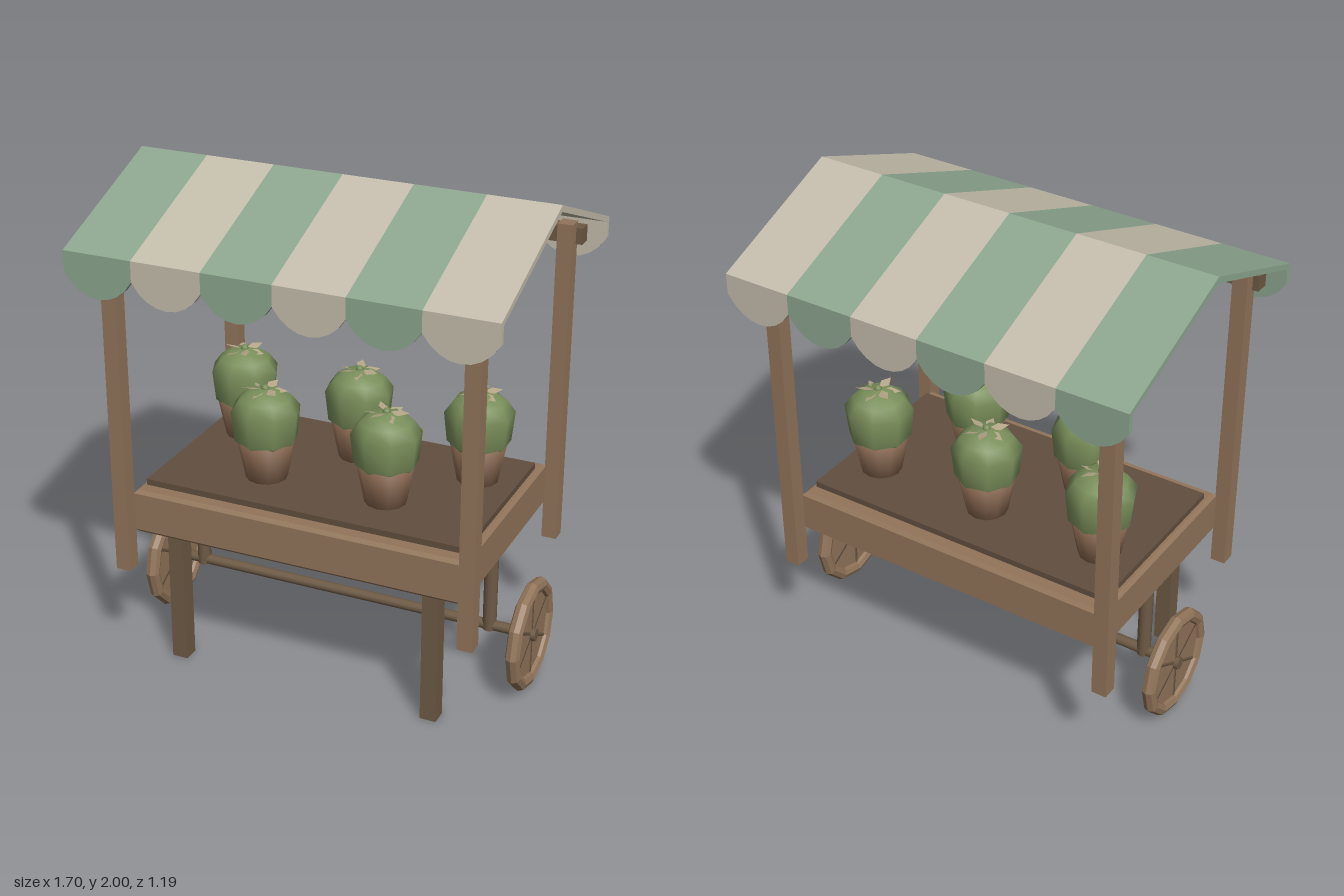
import * as THREE from 'three';

const mat = (name, color, side = THREE.FrontSide) => {
  const m = new THREE.MeshStandardMaterial({ color, side });
  m.name = name;
  return m;
};

// Splits shared vertices so every facet is shaded flat
function facet(geo) {
  const g = geo.index ? geo.toNonIndexed() : geo;
  g.computeVertexNormals();
  return g;
}

export function createModel() {
  const wood = mat('wood', 0x92755a);
  const darkWood = mat('darkWood', 0x6e5a45);
  const soil = mat('soil', 0x624e3f);
  const green = mat('awningGreen', 0x8da68f);
  const cream = mat('awningCream', 0xc4bdac);
  const clay = mat('clay', 0x8e6c54);
  const leaf = mat('plantGreen', 0x7a8f5b);
  const petalMat = mat('petal', 0xb5a688, THREE.DoubleSide);

  const cart = new THREE.Group();
  cart.name = 'marketCart';

  const add = (parent, name, geo, material, x = 0, y = 0, z = 0) => {
    const mesh = new THREE.Mesh(geo, material);
    mesh.name = name;
    mesh.position.set(x, y, z);
    parent.add(mesh);
    return mesh;
  };
  const group = (parent, name, x = 0, y = 0, z = 0) => {
    const g = new THREE.Group();
    g.name = name;
    g.position.set(x, y, z);
    parent.add(g);
    return g;
  };

  // Tray with chamfered edges, and the planting bed on top
  const c = 0.014, hx = 0.695 - c, hz = 0.448 - c;
  const rect = new THREE.Shape([
    new THREE.Vector2(-hx, -hz), new THREE.Vector2(hx, -hz),
    new THREE.Vector2(hx, hz), new THREE.Vector2(-hx, hz),
  ]);
  const trayGeo = new THREE.ExtrudeGeometry(rect, {
    depth: 0.185 - 2 * c, bevelEnabled: true, bevelSize: c, bevelThickness: c, bevelSegments: 1,
  });
  trayGeo.rotateX(-Math.PI / 2);
  add(cart, 'tray', trayGeo, wood, 0, 0.567 + c, 0);
  add(cart, 'plantingBed', new THREE.BoxGeometry(1.34, 0.05, 0.77), soil, 0, 0.752, 0);

  // Corner posts, roof beams, front legs and axle struts
  for (const s of [-1, 1]) {
    for (const t of [-1, 1]) {
      add(cart, 'post', new THREE.BoxGeometry(0.062, 1.35, 0.062), wood, s * 0.723, 1.094, t * 0.476);
    }
    add(cart, 'roofBeam', new THREE.BoxGeometry(1.56, 0.065, 0.058), darkWood, 0, 1.713, s * 0.518);
    add(cart, 'leg', new THREE.BoxGeometry(0.066, 0.58, 0.066), darkWood, s * 0.543, 0.29, 0.368);
    add(cart, 'axleStrut', new THREE.CylinderGeometry(0.028, 0.028, 0.37, 12), darkWood, s * 0.639, 0.4, 0);
  }

  // Axle and wheels
  const axleGeo = new THREE.CylinderGeometry(0.022, 0.022, 1.62, 10).rotateZ(Math.PI / 2);
  add(cart, 'axle', axleGeo, darkWood, 0.015, 0.232, 0);
  const rimGeo = facet(new THREE.TorusGeometry(0.2, 0.029, 8, 12).rotateY(Math.PI / 2));
  const discGeo = facet(new THREE.CylinderGeometry(0.195, 0.195, 0.016, 12)
    .rotateY(Math.PI / 2).rotateZ(Math.PI / 2));
  const hubGeo = new THREE.CylinderGeometry(0.026, 0.026, 0.056, 10).rotateZ(Math.PI / 2);
  const spokeGeo = new THREE.CylinderGeometry(0.012, 0.012, 0.18, 6).translate(0, 0.09, 0);
  for (const x of [-0.775, 0.807]) {
    const wheel = group(cart, 'wheel', x, 0.232, 0);
    add(wheel, 'wheelRim', rimGeo, wood);
    add(wheel, 'wheelDisc', discGeo, wood);
    add(wheel, 'wheelHub', hubGeo, darkWood);
    for (let i = 0; i < 6; i++) {
      add(wheel, 'spoke', spokeGeo, darkWood).rotation.x = i * Math.PI / 3;
    }
  }

  // Striped gable awning with scalloped valances
  const awning = group(cart, 'awning');
  const w = 1.7 / 6;
  const roof = new THREE.Shape([
    [-0.595, 1.772], [-0.595, 1.748], [0, 1.974], [0.595, 1.748], [0.595, 1.772], [0, 2],
  ].map(([z, y]) => new THREE.Vector2(z, y)));
  const roofGeo = new THREE.ExtrudeGeometry(roof, { depth: w, bevelEnabled: false })
    .rotateY(Math.PI / 2);
  const flap = new THREE.Shape();
  flap.moveTo(0, 1.77);
  flap.lineTo(0, 1.69);
  flap.bezierCurveTo(0.07, 1.57, w - 0.07, 1.57, w, 1.69);
  flap.lineTo(w, 1.77);
  const flapGeo = new THREE.ExtrudeGeometry(flap, { depth: 0.022, bevelEnabled: false, curveSegments: 8 });
  for (let i = 0; i < 6; i++) {
    const x = -0.85 + i * w, m = i % 2 ? cream : green;
    add(awning, 'roofStripe', roofGeo, m, x);
    add(awning, 'frontScallop', flapGeo, m, x, 0, 0.573);
    add(awning, 'backScallop', flapGeo, m, x, 0, -0.595);
  }

  // Potted plants in a zigzag, each topped by a small blossom
  const lathe = (pts, sides) =>
    new THREE.LatheGeometry(pts.map(([r, y]) => new THREE.Vector2(r, y)), sides);
  const potGeo = lathe([[0, 0], [0.083, 0], [0.118, 0.18], [0, 0.18]], 12);
  const plantGeo = lathe([
    [0.1, 0.145], [0.126, 0.168], [0.139, 0.29], [0.105, 0.337], [0.06, 0.368], [0, 0.378],
  ], 8);
  const petal = new THREE.Shape();
  petal.moveTo(0, 0);
  petal.lineTo(0.05, -0.019);
  petal.lineTo(0.09, 0);
  petal.lineTo(0.05, 0.019);
  const petalGeo = new THREE.ShapeGeometry(petal).rotateX(-Math.PI / 2);
  const budGeo = new THREE.SphereGeometry(0.016, 8, 6);
  for (let i = 0; i < 5; i++) {
    const plant = group(cart, 'pottedPlant', (i - 2) * 0.255, 0.777, i % 2 ? 0.16 : -0.16);
    add(plant, 'pot', potGeo, clay);
    add(plant, 'foliage', plantGeo, leaf).rotation.y = i * 0.7;
    const flower = group(plant, 'blossom', 0, 0.372, 0);
    flower.rotation.y = i * 0.4;
    add(flower, 'bud', budGeo, leaf, 0, 0.004, 0);
    for (let k = 0; k < 6; k++) {
      const p = add(flower, 'petal', petalGeo, petalMat);
      p.rotation.set(0.25, k * Math.PI / 3, k % 2 ? 0.08 : -0.08, 'YZX');
    }
  }
  return cart;
}
